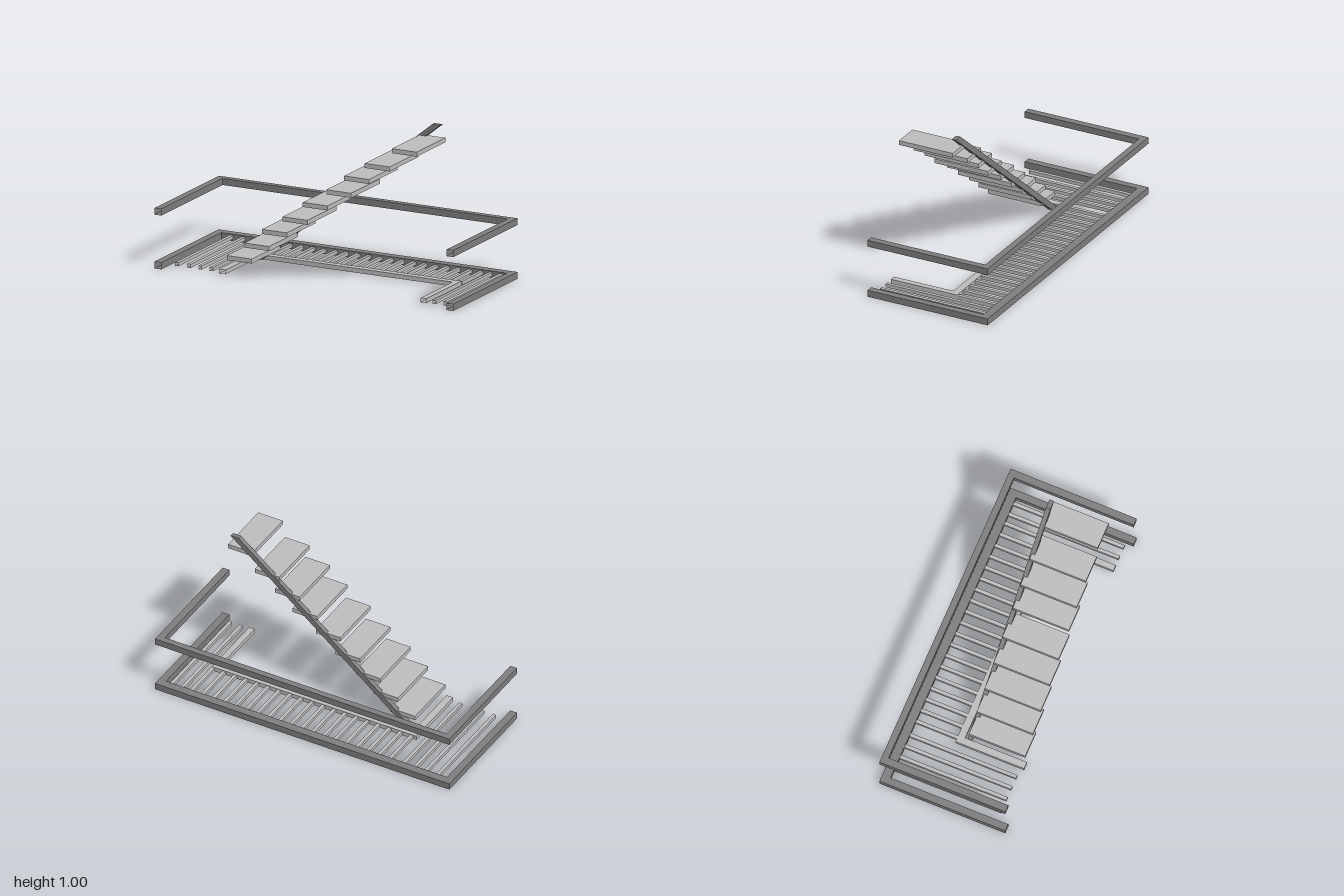
import * as THREE from 'three';

export function createModel() {
  const model = new THREE.Group();
  const steel = new THREE.MeshStandardMaterial({ color: 0x808080, side: THREE.DoubleSide });
  steel.name = 'darkGrey';
  const pale = new THREE.MeshStandardMaterial({ color: 0xc0c0c0, side: THREE.DoubleSide });
  pale.name = 'lightGrey';

  // Box from its limits; open tubes leave out the two z ends
  function bar(name, material, [x0, x1], [y0, y1], [z0, z1], open = false, parent = model) {
    const geometry = new THREE.BoxGeometry(x1 - x0, y1 - y0, z1 - z0);
    if (open) {
      geometry.setIndex(Array.from(geometry.index.array).slice(0, 24));
      geometry.clearGroups();
    }
    const mesh = new THREE.Mesh(geometry, material);
    mesh.name = name;
    mesh.position.set((x0 + x1) / 2, (y0 + y1) / 2, (z0 + z1) / 2);
    parent.add(mesh);
  }

  // Two U-shaped frames of square tube, open towards the front
  function frame(name, y, backInner) {
    const group = new THREE.Group();
    group.name = name;
    bar('backBeam', steel, [-1, 1], y, [-0.405, backInner], false, group);
    bar('rightBeam', steel, [-1, -0.955], y, [backInner, 0.402], true, group);
    bar('leftBeam', steel, [0.955, 1], y, [backInner, 0.402], true, group);
    model.add(group);
  }
  frame('lowerFrame', [0, 0.042], -0.352);
  frame('upperFrame', [0.33, 0.371], -0.365);

  // Light trimmer around the stair opening
  const trimY = [0.01, 0.037];
  bar('openingBackBar', pale, [-0.595, 0.795], trimY, [-0.088, -0.044]);
  bar('openingRightBar', pale, [-0.595, -0.551], trimY, [-0.044, 0.352], true);
  bar('openingLeftBar', pale, [0.757, 0.795], trimY, [-0.044, 0.356], true);

  // Floor slats: long ones beside the opening, short ones behind it
  const slats = new THREE.Group();
  slats.name = 'slats';
  function slat(x, front) {
    bar('slat', pale, [x - 0.011, x + 0.011], [0.012, 0.034], [-0.352, front], true, slats);
  }
  for (const x of [-0.888, -0.807, -0.733, -0.658]) slat(x, 0.332);
  for (let i = 0; i < 19; i++) slat(-0.564 + i * 0.075, -0.088);
  for (const x of [0.848, 0.92]) slat(x, 0.356);
  model.add(slats);

  // Sloping stringer with level cut ends
  const side = new THREE.Shape([
    new THREE.Vector2(-0.557, 0.018),
    new THREE.Vector2(-0.502, 0.018),
    new THREE.Vector2(0.7, 1),
    new THREE.Vector2(0.645, 1),
  ]);
  const stringer = new THREE.Mesh(
    new THREE.ExtrudeGeometry(side, { depth: 0.029, bevelEnabled: false }), steel);
  stringer.name = 'stringer';
  stringer.position.z = -0.03;
  model.add(stringer);

  // Treads: right edge x and underside y
  const steps = [
    [-0.549, 0.095], [-0.432, 0.187], [-0.313, 0.286], [-0.175, 0.381], [-0.041, 0.487],
    [0.117, 0.585], [0.236, 0.685], [0.374, 0.78], [0.556, 0.894],
  ];
  for (const [x, y] of steps) bar('tread', pale, [x, x + 0.167], [y, y + 0.028], [-0.021, 0.34]);

  return model;
}
